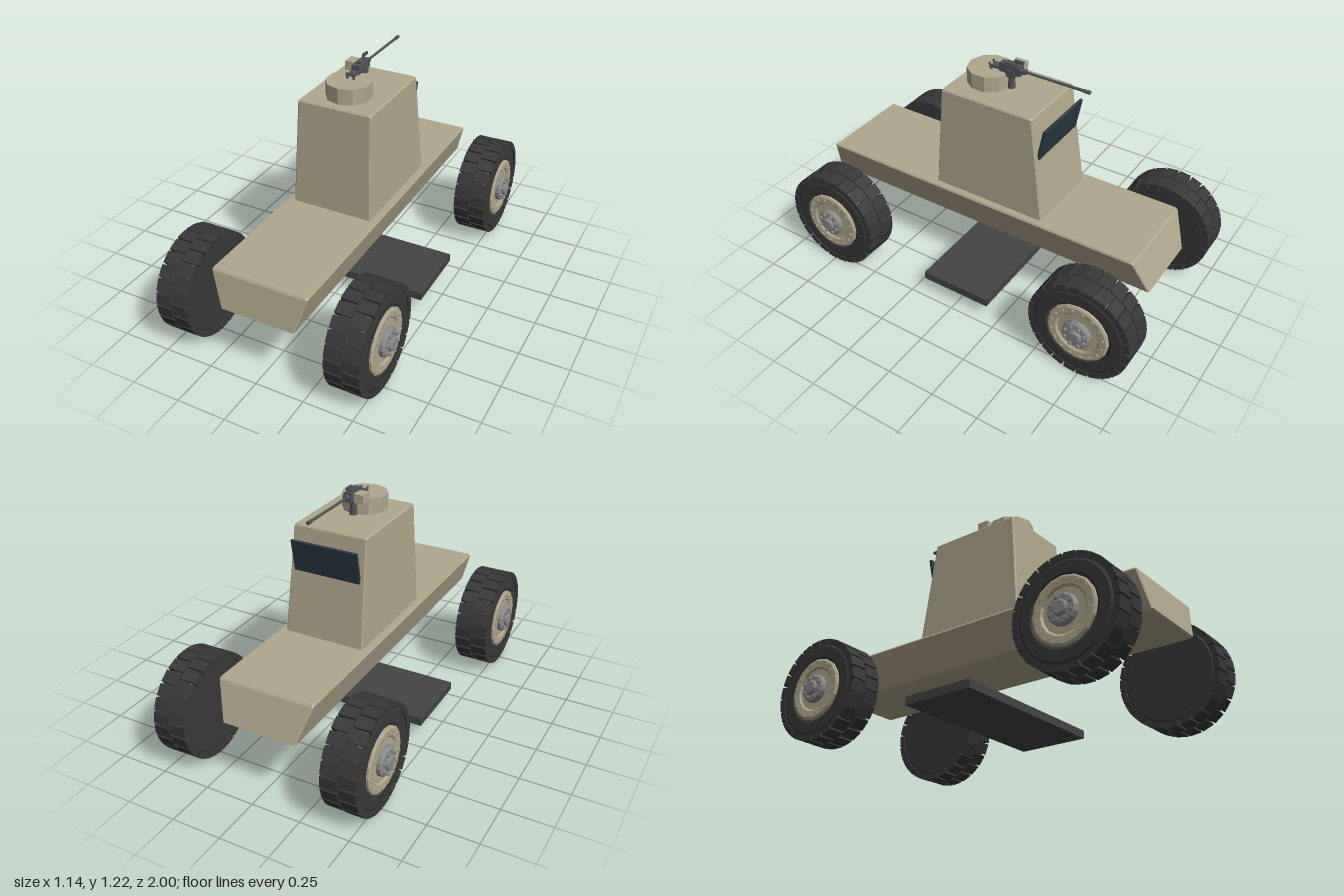
import * as THREE from 'three';

const mat = (color, extra = {}) => new THREE.MeshStandardMaterial({ color, flatShading: true, ...extra });
const TAN = mat(0xb0a78c), RUBBER = mat(0x383838), STEEL = mat(0x8a8a8a);
const GUN = mat(0x505358), SLAB = mat(0x444444), GLASS = mat(0x2a3a44);

function add(parent, name, geometry, material, x = 0, y = 0, z = 0) {
  const mesh = new THREE.Mesh(geometry, material);
  mesh.name = name;
  mesh.position.set(x, y, z);
  parent.add(mesh);
  return mesh;
}
const box = (w, h, d) => new THREE.BoxGeometry(w, h, d);
const rod = (r0, r1, len, n = 12) => new THREE.CylinderGeometry(r0, r1, len, n);

// Closed loft through chamfered rectangles given as [y, halfWidth, zBack, zFront]
function loft(rings, c) {
  const pos = [], idx = [], last = rings.length - 1;
  for (const [y, w, b, f] of rings) {
    const loop = [[w - c, f], [w, f - c], [w, b + c], [w - c, b],
      [c - w, b], [-w, b + c], [-w, f - c], [c - w, f]];
    for (const [x, z] of loop) pos.push(x, y, z);
  }
  for (let i = 0; i < last; i++) {
    for (let j = 0; j < 8; j++) {
      const a = i * 8 + j, b = i * 8 + (j + 1) % 8;
      idx.push(a, b, b + 8, a, b + 8, a + 8);
    }
  }
  for (let j = 1; j < 7; j++) {
    idx.push(0, j + 1, j);
    idx.push(last * 8, last * 8 + j, last * 8 + j + 1);
  }
  const g = new THREE.BufferGeometry();
  g.setAttribute('position', new THREE.Float32BufferAttribute(pos, 3));
  g.setIndex(idx);
  const flat = g.toNonIndexed();
  flat.computeVertexNormals();
  return flat;
}

// Wheel with its outer side towards +x, axle at the origin
function makeWheel(name) {
  const wheel = new THREE.Group();
  wheel.name = name;
  const lathe = (pts, n) => new THREE.LatheGeometry(pts.map(([r, x]) => new THREE.Vector2(r, x)), n).rotateZ(-Math.PI / 2);

  // Tyre with a flat inner disc
  add(wheel, 'tyre', lathe([[0, -0.08], [0.225, -0.08], [0.247, -0.07], [0.253, -0.055], [0.253, 0.055],
    [0.245, 0.075], [0.22, 0.087], [0.17, 0.087], [0.15, 0.075], [0, 0.075]], 48), RUBBER);

  // Two staggered rows of tread blocks
  const N = 24;
  for (let row = 0; row < 2; row++) {
    for (let i = 0; i < N; i++) {
      const a = (i + row / 2) / N * Math.PI * 2;
      const s = row ? 1 : -1;
      const lug = add(wheel, 'treadBlock', box(0.084, 0.03, 0.058), RUBBER,
        s * 0.045, 0.247 * Math.cos(a), 0.247 * Math.sin(a));
      lug.rotation.x = a;
    }
  }

  // Dished rim, hub and cap
  add(wheel, 'rim', lathe([[0, 0.07], [0.158, 0.07], [0.158, 0.09], [0.148, 0.095], [0.115, 0.093],
    [0.105, 0.084], [0, 0.084]], 16), TAN);
  add(wheel, 'hub', lathe([[0, 0.075], [0.072, 0.075], [0.072, 0.103], [0.064, 0.11], [0.035, 0.112],
    [0.035, 0.124], [0.028, 0.128], [0, 0.128]], 16), STEEL);
  const bolts = (part, count, r, x, size, material) => {
    for (let i = 0; i < count; i++) {
      const a = (i + 0.5) / count * Math.PI * 2;
      add(wheel, part, rod(size, size, 0.014, 6).rotateZ(Math.PI / 2), material, x, r * Math.cos(a), r * Math.sin(a));
    }
  };
  bolts('hubBolt', 8, 0.053, 0.116, 0.008, STEEL);
  bolts('rimBolt', 16, 0.134, 0.094, 0.006, TAN);
  return wheel;
}

// Gun on its mount, barrel pointing to -z
function makeGun() {
  const gun = new THREE.Group();
  gun.name = 'roofGun';
  const along = (r0, r1, len, n) => rod(r0, r1, len, n).rotateX(Math.PI / 2);
  add(gun, 'pedestal', rod(0.013, 0.02, 0.09, 10), GUN, 0, 1.115, -0.04);
  add(gun, 'cradle', box(0.05, 0.035, 0.05), GUN, 0, 1.152, -0.045);
  add(gun, 'receiver', box(0.038, 0.046, 0.115), GUN, 0, 1.173, -0.04);
  add(gun, 'topCover', box(0.028, 0.012, 0.07), GUN, 0, 1.198, -0.045);
  add(gun, 'sightPost', box(0.008, 0.02, 0.012), GUN, 0, 1.207, -0.07);
  add(gun, 'sight', box(0.011, 0.014, 0.046), GUN, 0, 1.218, -0.083);
  add(gun, 'barrelJacket', along(0.013, 0.013, 0.03, 10), GUN, 0, 1.175, -0.108);
  add(gun, 'barrel', along(0.006, 0.007, 0.33, 10), GUN, 0, 1.175, -0.275);
  add(gun, 'muzzle', along(0.009, 0.009, 0.034, 10), GUN, 0, 1.175, -0.443);
  add(gun, 'ammoBox', box(0.05, 0.045, 0.065), TAN, -0.05, 1.169, -0.053);
  add(gun, 'feedTray', box(0.025, 0.01, 0.035), GUN, -0.025, 1.186, -0.05);
  add(gun, 'gripBracket', box(0.042, 0.012, 0.05), GUN, 0, 1.164, 0.038);
  for (const s of [-1, 1]) {
    const grip = add(gun, 'grip', rod(0.006, 0.006, 0.034, 8), GUN, s * 0.017, 1.162, 0.068);
    grip.rotation.x = 0.3;
  }
  return gun;
}

export function createModel() {
  const model = new THREE.Group();
  model.name = 'armouredVehicle';

  // Hull widens upwards and tapers at both ends
  add(model, 'hull', loft([
    [0.333, 0.184, -0.917, 0.953], [0.34, 0.191, -0.925, 0.961],
    [0.516, 0.247, -0.856, 0.929], [0.525, 0.242, -0.847, 0.922],
  ], 0.006), TAN);

  // Cabin narrows towards its roof
  add(model, 'cabin', loft([
    [0.515, 0.211, -0.345, 0.27],
    [1.06, 0.193, -0.27, 0.235], [1.067, 0.187, -0.264, 0.229],
  ], 0.006), TAN);

  // Ten-sided hatch ring
  add(model, 'hatch', rod(0.114, 0.114, 0.084, 10), TAN, 0, 1.105, 0.08);
  model.add(makeGun());

  // Window plate leaning away from the cabin
  const plate = add(model, 'windowPlate', box(0.35, 0.165, 0.014), GLASS, 0, 0.928, -0.312);
  plate.rotation.x = -0.19;

  // Low platform under the hull
  add(model, 'platform', box(0.92, 0.042, 0.38), SLAB, 0, 0.101, 0);

  for (const [end, z] of [['front', 0.737], ['rear', -0.737]]) {
    for (const [side, s] of [['Left', 1], ['Right', -1]]) {
      const wheel = makeWheel(`${end}${side}Wheel`);
      wheel.position.set(s * 0.443, 0.265, z);
      if (s < 0) wheel.rotation.y = Math.PI;
      model.add(wheel);
    }
  }
  return model;
}
